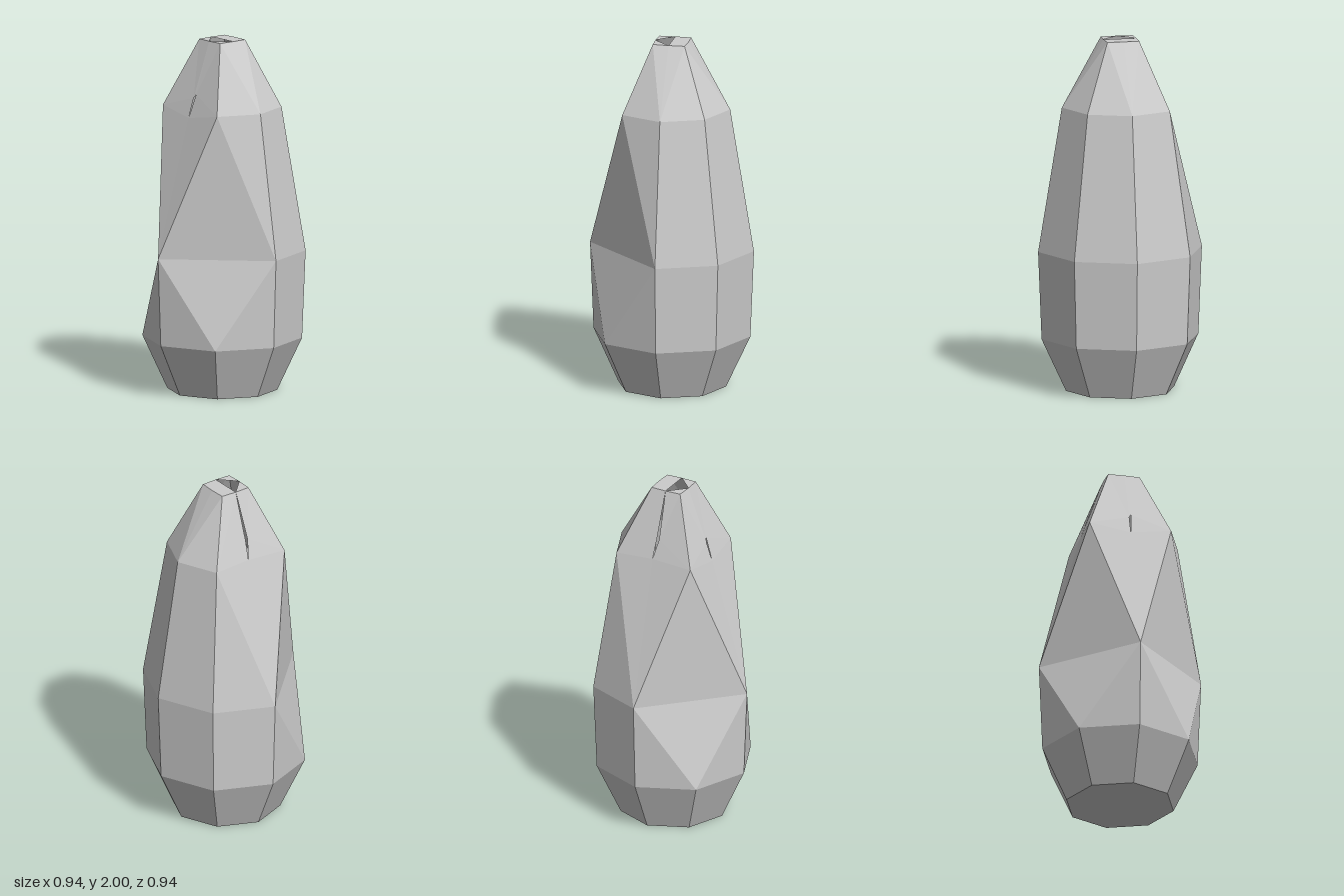
import * as THREE from 'three';

// Ring heights and radii; the lip alternates between side and corner radius.
const HEIGHTS = [0, 0.3, 0.8, 1.62, 2];
const RADII = [0.31, 0.45, 0.47, 0.334, 0.095];

// Ring point: k = 0 faces +z, 2 faces +x, 4 faces -z, 6 faces -x.
function p(ring, k) {
  const a = ((k % 8) * Math.PI) / 4;
  const r = ring === 4 && k % 2 ? 0.129 : RADII[ring];
  return [Math.sin(a) * r, HEIGHTS[ring], Math.cos(a) * r];
}

// Builds a flat shaded mesh from convex polygons, each split as a fan.
function facetMesh(name, polygons, material) {
  const pos = [];
  for (const f of polygons) {
    for (let i = 1; i < f.length - 1; i++) pos.push(...f[0], ...f[i], ...f[i + 1]);
  }
  const geo = new THREE.BufferGeometry();
  geo.setAttribute('position', new THREE.Float32BufferAttribute(pos, 3));
  geo.computeVertexNormals();
  const mesh = new THREE.Mesh(geo, material);
  mesh.name = name;
  return mesh;
}

// Quad between two rings; the diagonal runs from the even lower point.
function quad(ring, k) {
  const q = [p(ring, k), p(ring, k + 1), p(ring + 1, k + 1), p(ring + 1, k)];
  return k % 2 ? [q[1], q[2], q[3], q[0]] : q;
}

export function createModel() {
  const group = new THREE.Group();
  group.name = 'facetedVase';
  const material = new THREE.MeshStandardMaterial({
    color: 0xcccccc, flatShading: true, side: THREE.DoubleSide,
  });
  const add = (name, polygons) => group.add(facetMesh(name, polygons, material));

  // Closed base and flared foot
  add('base', [[7, 6, 5, 4, 3, 2, 1, 0].map((k) => p(0, k))]);
  add('foot', [0, 1, 2, 3, 4, 5, 6, 7].map((k) => quad(0, k)));

  // Belly: regular at the back, large cut triangles at the front corners
  add('belly', [
    ...[2, 3, 4, 5].map((k) => quad(1, k)),
    [p(1, 0), p(1, 1), p(2, 0)],
    [p(1, 1), p(2, 2), p(2, 0)],
    [p(1, 1), p(1, 2), p(2, 2)],
    [p(1, 7), p(1, 0), p(2, 0)],
    [p(1, 7), p(2, 0), p(2, 6)],
    [p(1, 6), p(1, 7), p(2, 6)],
  ]);

  // Body and shoulder facets around the two diamond panels
  add('body', [
    ...[2, 3, 4].map((k) => quad(2, k)),
    [p(2, 5), p(2, 6), p(3, 5)],
    [p(2, 0), p(2, 2), p(3, 1)],
    [p(2, 2), p(3, 2), p(3, 1)],
    [p(2, 6), p(2, 0), p(3, 7)],
  ]);
  add('shoulder', [1, 2, 3, 4].map((k) => quad(3, k)));

  // Front diamond panel with a small slit
  const f1 = [0, 1.69, 0.209], f2 = [0.012, 1.71, 0.201], f3 = [0, 1.58, 0.246];
  add('frontPanel', [
    [p(2, 0), p(3, 1), f3],
    [p(2, 0), f3, p(3, 7)],
    [f3, p(3, 1), f2],
    [f2, p(3, 1), p(4, 1)],
    [f2, p(4, 1), p(4, 0)],
    [f1, f2, p(4, 0)],
    [f1, p(4, 0), p(4, 7)],
    [p(3, 7), f1, p(4, 7)],
    [p(3, 7), f3, f1],
  ]);

  // Right diamond panel with a narrow crack running down from the lip
  const s1 = [-0.19, 1.74, 0.012], s2 = [-0.229, 1.63, -0.01], s3 = [-0.192, 1.735, -0.003];
  add('rightPanel', [
    [p(4, 6), s1, p(4, 7)],
    [s1, p(3, 7), p(4, 7)],
    [s1, s2, p(3, 7)],
    [s2, p(2, 6), p(3, 7)],
    [p(3, 5), p(2, 6), s2],
    [p(3, 5), s2, s3],
    [p(3, 5), s3, p(4, 6)],
    [p(3, 5), p(4, 6), p(4, 5)],
  ]);

  // Top, leaving a triangular opening at the front
  add('top', [
    [2, 3, 4, 5, 6].map((k) => p(4, k)),
    [p(4, 0), p(4, 1), p(4, 2)],
    [p(4, 6), p(4, 7), p(4, 0)],
  ]);

  return group;
}
